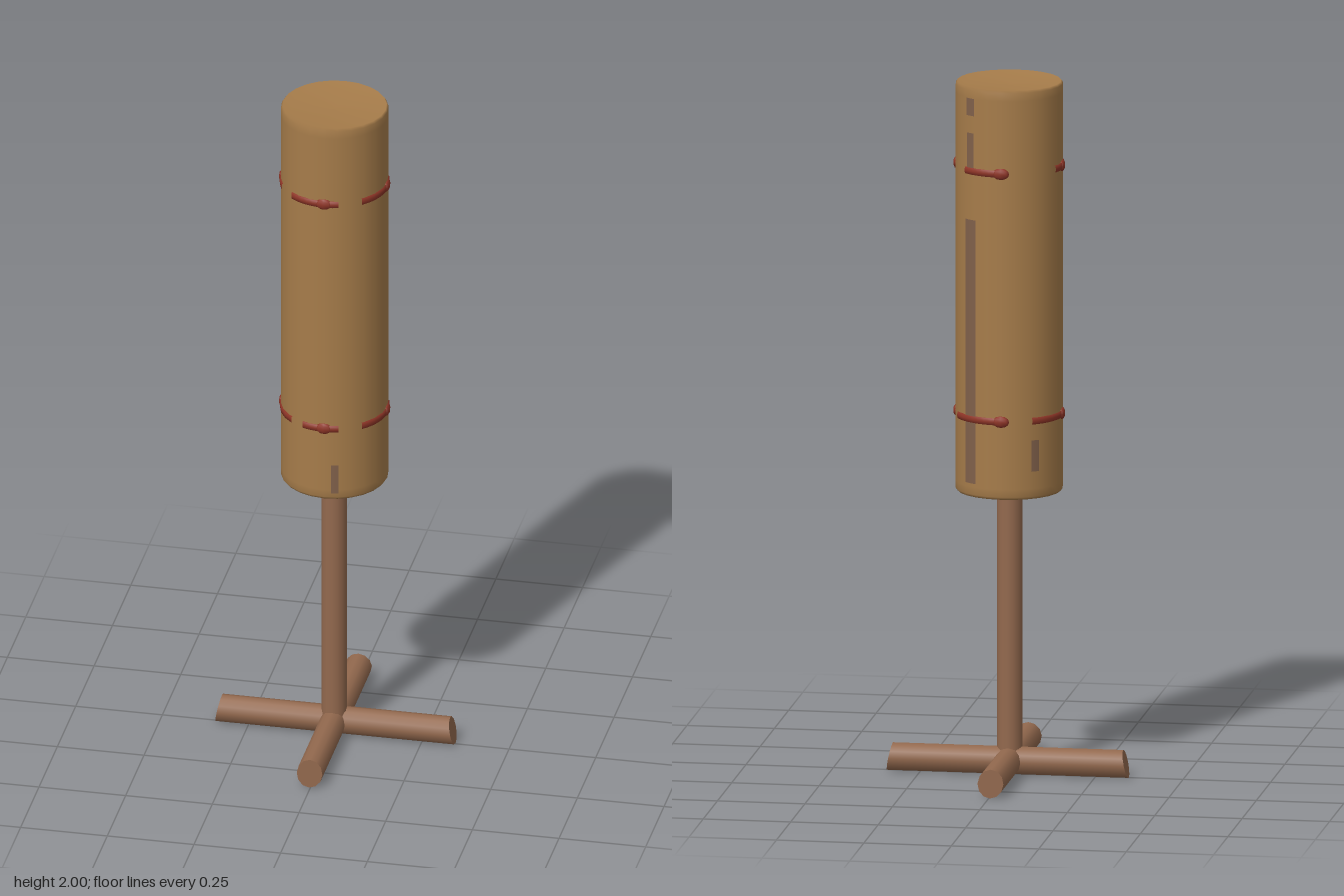
import * as THREE from 'three';

const material = (name, color, side = THREE.FrontSide) => {
  const m = new THREE.MeshStandardMaterial({ color, side });
  m.name = name;
  return m;
};

export function createModel() {
  const group = new THREE.Group();
  const canvas = material('tan canvas', 0xa67c4a);
  const wood = material('brown wood', 0x93694e);
  const rope = material('red rope', 0x8e3527);
  const stain = material('grey brown stain', 0x80604a, THREE.DoubleSide);
  const CX = -0.003, R = 0.152, rad = THREE.MathUtils.degToRad;

  const add = (name, geometry, mat, x = 0, y = 0, z = 0) => {
    const mesh = new THREE.Mesh(geometry, mat);
    mesh.name = name;
    mesh.position.set(x, y, z);
    group.add(mesh);
    return mesh;
  };

  // Padded body: soft-edged cylinder with slightly sunken ends
  const profile = [
    [0, 0.828], [0.125, 0.828], [0.146, 0.82], [R, 0.828], [R, 0.85],
    [R, 1.97], [R, 1.993], [0.147, 2], [0.125, 1.99], [0, 1.988],
  ].map(([r, y]) => new THREE.Vector2(r, y));
  add('body', new THREE.LatheGeometry(profile, 24), canvas, CX);

  // Post
  add('post', new THREE.CylinderGeometry(0.036, 0.036, 0.8, 14), wood, -0.004, 0.44, 0.002);

  // Crossed feet: round beams whose ends lean in towards the top
  const beam = new THREE.CylinderGeometry(1, 1, 0.674, 12, 1);
  beam.rotateZ(Math.PI / 2);
  beam.scale(1, 0.04, 0.037);
  const p = beam.attributes.position;
  for (let i = 0; i < p.count; i++) {
    p.setX(i, p.getX(i) - Math.sign(p.getX(i)) * p.getY(i) * 0.2);
  }
  beam.computeBoundingSphere();
  add('footAcross', beam, wood, 0, 0.04, -0.004);
  add('footLengthwise', beam, wood, -0.004, 0.04, 0).rotation.y = Math.PI / 2;

  // Broken rope bands, given as arcs in degrees from the front
  const bandProfile = [[0.148, -0.011], [0.1545, -0.009], [0.1555, 0], [0.1545, 0.009], [0.148, 0.011]]
    .map(([r, y]) => new THREE.Vector2(r, y));
  const bands = [
    { y: 1.76, arcs: [[-113, -62], [-40, 16], [42, 105], [135, 186]] },
    { y: 1.045, arcs: [[-146, -40], [-24, 16], [42, 105], [118, 176]] },
  ];
  for (const { y, arcs } of bands) {
    for (const [a, b] of arcs) {
      add('ropeBand', new THREE.LatheGeometry(bandProfile, 8, rad(a), rad(b - a)), rope, CX, y);
    }
    // Small knots on the four sides
    for (let i = 0; i < 4; i++) {
      const a = i * Math.PI / 2;
      const knot = add('ropeKnot', new THREE.SphereGeometry(1, 8, 6), rope,
        CX + 0.15 * Math.sin(a), y, 0.15 * Math.cos(a));
      knot.scale.set(0.024, 0.017, 0.01);
      knot.rotation.y = a;
    }
  }

  // Worn streaks: thin curved plates [angle, width in degrees, bottom, top]
  const streaks = [
    [143, 15, 0.86, 1.62], [143, 10, 1.77, 1.87], [143, 12, 1.92, 1.97],
    [12, 8, 0.84, 0.93], [218, 9, 0.9, 0.99],
  ];
  for (const [a, w, y0, y1] of streaks) {
    add('wornStreak', new THREE.CylinderGeometry(0.153, 0.153, y1 - y0, 4, 1, true,
      rad(a - w / 2), rad(w)), stain, CX, (y0 + y1) / 2);
  }
  return group;
}
